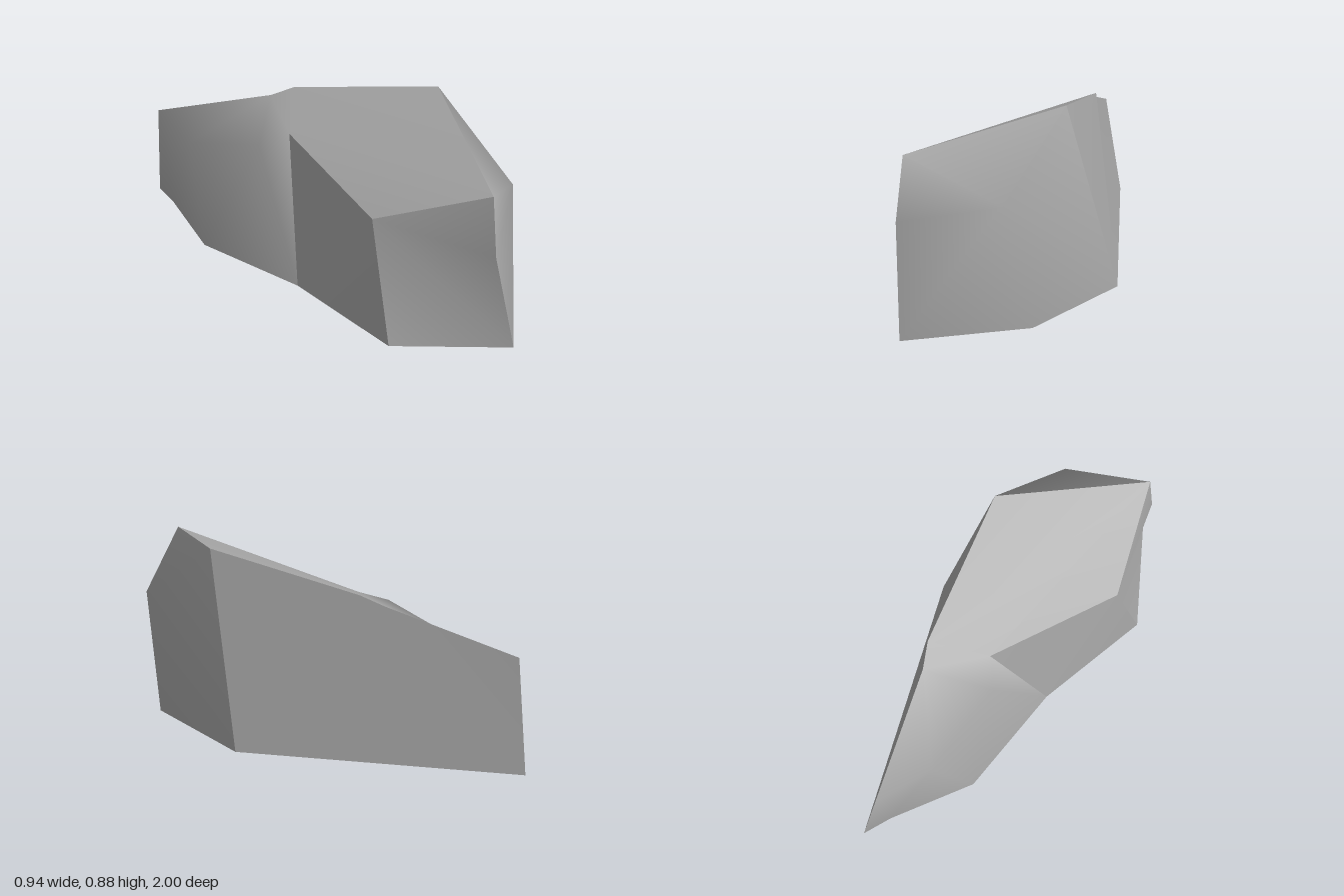
import * as THREE from 'three';

// Corner points of the boulder
const P = {
  // foot outline, clockwise from the back tip
  footTip: [-0.38, 0, -1.0], footRight: [0.445, 0, -0.02], footFrontRight: [0.465, 0, 0.54],
  footFront: [0.16, 0, 1.0], footFrontLeft: [-0.255, 0, 0.66], footNotch: [-0.31, 0, 0.08],
  footBulge: [-0.47, 0, -0.45], footBack: [-0.39, 0, -0.86],
  // shoulders
  frontEdge: [0.08, 0.475, 0.93], rightShoulder: [0.425, 0.56, 0.67],
  // crest outline
  tip: [-0.405, 0.515, -0.9], dipBack: [-0.07, 0.69, -0.43], dipFront: [0.01, 0.74, -0.35],
  peak: [0.365, 0.875, 0.235], brow: [0.085, 0.75, 0.885], leftBrow: [-0.225, 0.565, 0.5],
  notch: [-0.17, 0.65, -0.15], ledge: [-0.288, 0.603, -0.22], bulge: [-0.41, 0.47, -0.62],
};

// Each patch is smooth inside and has hard borders
const PATCHES = {
  topAndBackLeftSide: [
    'tip footTip footBack', 'tip footBack bulge', 'bulge footBack footBulge',
    'bulge footBulge ledge', 'ledge footBulge footNotch', 'ledge footNotch notch',
    'tip bulge dipBack', 'bulge ledge dipBack', 'ledge notch dipBack',
    'notch dipFront dipBack', 'notch brow dipFront', 'dipFront brow peak', 'notch leftBrow brow',
  ],
  leftFlank: ['notch footNotch leftBrow', 'leftBrow footNotch footFrontLeft'],
  frontFace: [
    'leftBrow footFrontLeft footFront', 'leftBrow footFront frontEdge', 'leftBrow frontEdge brow',
  ],
  frontRightFace: [
    'brow frontEdge rightShoulder', 'frontEdge footFront rightShoulder',
    'footFront footFrontRight rightShoulder', 'rightShoulder footFrontRight footRight',
    'rightShoulder footRight peak', 'brow rightShoulder peak',
  ],
  backRightFace: [
    'peak footRight dipFront', 'dipFront footRight dipBack',
    'dipBack footRight footTip', 'dipBack footTip tip',
  ],
};

function patchGeometry(triangles) {
  const corners = triangles.map((t) => t.split(' '));
  const names = [...new Set(corners.flat())];
  const geometry = new THREE.BufferGeometry();
  geometry.setAttribute('position', new THREE.Float32BufferAttribute(names.flatMap((n) => P[n]), 3));
  geometry.setIndex(corners.flat().map((n) => names.indexOf(n)));
  geometry.computeVertexNormals();
  return geometry;
}

export function createModel() {
  const group = new THREE.Group();
  group.name = 'boulder';
  // The shell is open underneath
  const stone = new THREE.MeshStandardMaterial({ color: 0xa6a6a6, side: THREE.DoubleSide });
  stone.name = 'stone grey';
  for (const [name, triangles] of Object.entries(PATCHES)) {
    const mesh = new THREE.Mesh(patchGeometry(triangles), stone);
    mesh.name = name;
    group.add(mesh);
  }
  return group;
}
